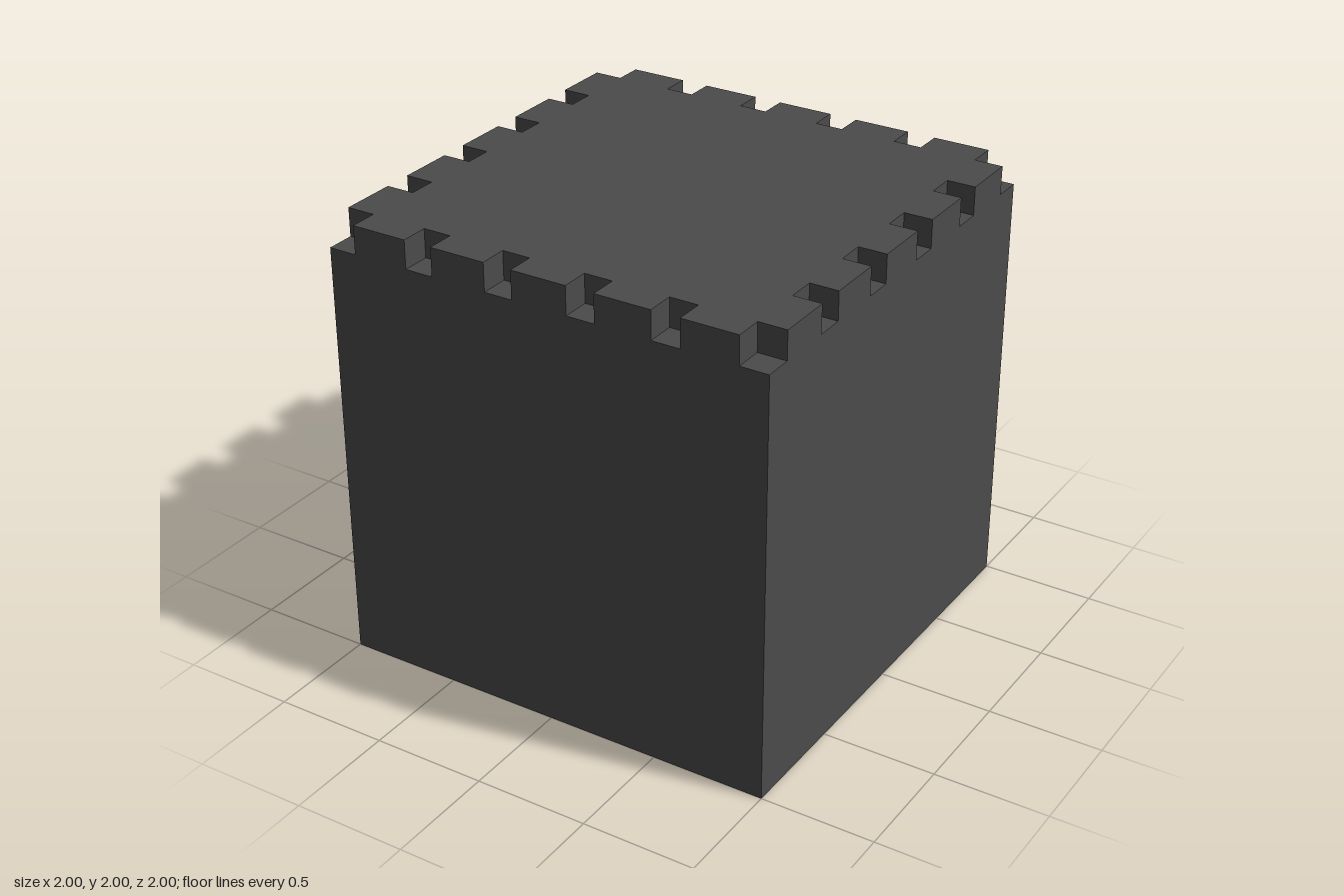
import * as THREE from 'three';

const N = 0.125; // notch width, depth and height
const STEP = 0.375; // spacing between notches

// Square outline with a notch at each corner and four along each side
function notchedOutline() {
  const side = [[-1 + N, -1 + N], [-1 + N, -1]];
  for (let i = 1; i <= 4; i++) {
    const s = -1 + i * STEP;
    side.push([s, -1], [s, -1 + N], [s + N, -1 + N], [s + N, -1]);
  }
  side.push([1 - N, -1]);

  const points = [];
  for (let q = 0; q < 4; q++) {
    for (const [x, y] of side) {
      const p = new THREE.Vector2(x, y);
      for (let k = 0; k < q; k++) p.set(-p.y, p.x); // quarter turns
      points.push(p);
    }
  }
  return new THREE.Shape(points);
}

export function createModel() {
  const group = new THREE.Group();
  group.name = 'notchedBlock';

  const darkGrey = new THREE.MeshStandardMaterial({ color: 0x4b4b4b });
  darkGrey.name = 'darkGrey';

  // Solid block up to the notch floors
  const bodyHeight = 2 - N;
  const body = new THREE.Mesh(new THREE.BoxGeometry(2, bodyHeight, 2), darkGrey);
  body.name = 'body';
  body.position.y = bodyHeight / 2;

  // Top slab with the notched rim
  const rim = new THREE.ExtrudeGeometry(notchedOutline(), { depth: N, bevelEnabled: false });
  rim.rotateX(-Math.PI / 2);
  const top = new THREE.Mesh(rim, darkGrey);
  top.name = 'notchedTop';
  top.position.y = bodyHeight;

  group.add(body, top);
  return group;
}
